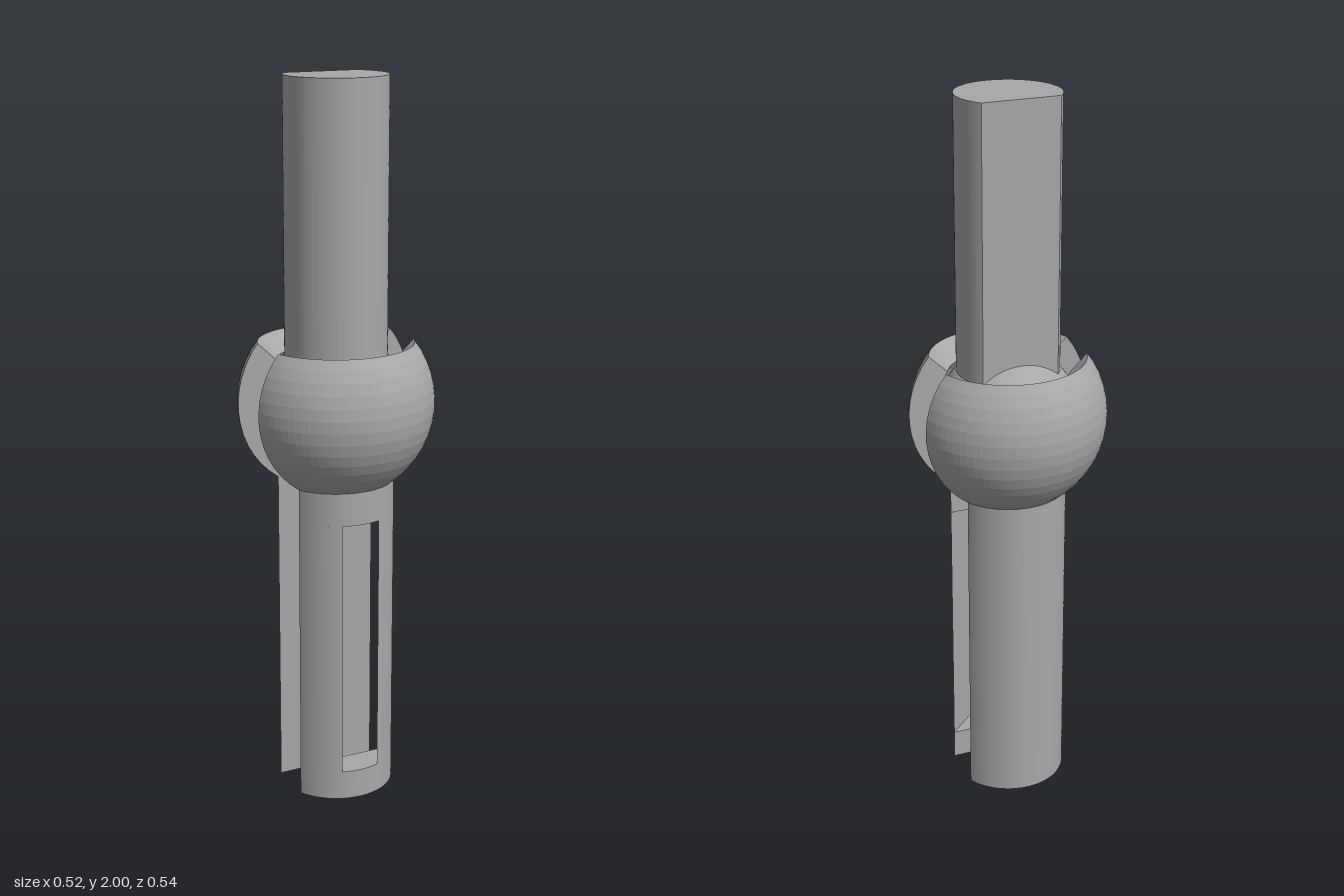
import * as THREE from 'three';

const SLOT = 0.067;      // half width of the slot between the two jaws
const CY = 1.125;        // centre height of ball and socket
const R_OUT = 0.27, R_IN = 0.2, R_SHAFT = 0.16, R_STEM = 0.14;
const NECK = CY - Math.sqrt(R_OUT ** 2 - R_SHAFT ** 2); // socket meets shaft

// Upright prism with its outline given in (x, z)
function prism(shape, y0, y1) {
  const g = new THREE.ExtrudeGeometry(shape, { depth: y1 - y0, bevelEnabled: false, curveSegments: 32 });
  return g.rotateX(Math.PI / 2).translate(0, y1, 0);
}

// Socket profile (radius, y): up the outside, down the chamfer, down the cavity
function socketProfile() {
  const pts = [];
  const arc = (r, from, to, n) => {
    for (let i = 0; i <= n; i++) {
      const a = from + (to - from) * i / n;
      pts.push([r * Math.cos(a), CY + r * Math.sin(a)]);
    }
  };
  arc(R_OUT, -Math.acos(R_SHAFT / R_OUT), Math.acos(0.213 / R_OUT), 13);
  arc(R_IN, Math.acos(0.163 / R_IN), -Math.acos(SLOT / R_IN), 14);
  return pts;
}

// Profile revolved about y, clipped by the plane z = SLOT
function clippedRevolve(profile, n = 36) {
  const pos = [], idx = [];
  profile.forEach(([r, y], j) => {
    const a = Math.asin(Math.min(1, SLOT / r));
    for (let i = 0; i <= n; i++) {
      const t = a + (Math.PI - 2 * a) * i / n;
      pos.push(r * Math.cos(t), y, r * Math.sin(t));
      if (j && i) {
        const p = j * (n + 1) + i, q = p - n - 1;
        idx.push(q - 1, p - 1, q, q, p - 1, p);
      }
    }
  });
  const g = new THREE.BufferGeometry();
  g.setAttribute('position', new THREE.Float32BufferAttribute(pos, 3));
  g.setIndex(idx);
  g.computeVertexNormals();
  return g;
}

export function createModel() {
  const model = new THREE.Group();
  model.name = 'ballJoint';
  const grey = new THREE.MeshStandardMaterial({ color: 0xa8a8a8, flatShading: true });
  grey.name = 'grey';
  const add = (parent, name, geometry) => {
    const mesh = new THREE.Mesh(geometry, grey);
    mesh.name = name;
    parent.add(mesh);
    return mesh;
  };

  // Stem with a flat along its back
  const cut = Math.asin(0.09 / R_STEM);
  const stem = new THREE.Shape();
  stem.absarc(0, 0, R_STEM, -cut, Math.PI + cut, false);
  add(model, 'stem', prism(stem, CY, 2));

  // Ball
  add(model, 'ball', new THREE.SphereGeometry(0.19, 48, 28)).position.y = CY;

  // Outlines of the half shaft: whole, and the strips beside the window
  const a0 = Math.asin(SLOT / R_SHAFT), a1 = Math.acos(0.055 / R_SHAFT);
  const half = new THREE.Shape();
  half.absarc(0, 0, R_SHAFT, a0, Math.PI - a0, false);
  const rightStrip = new THREE.Shape();
  rightStrip.moveTo(0.055, SLOT);
  rightStrip.absarc(0, 0, R_SHAFT, a0, a1, false);
  const leftStrip = new THREE.Shape();
  leftStrip.moveTo(-0.055, SLOT);
  leftStrip.absarc(0, 0, R_SHAFT, Math.PI - a1, Math.PI - a0, false);

  // Flat slot face of the socket
  const profile = socketProfile();
  const side = profile.map(([r, y]) => new THREE.Vector2(Math.sqrt(Math.max(0, r * r - SLOT * SLOT)), y));
  const mirrored = side.slice(0, -1).reverse().map(p => new THREE.Vector2(-p.x, p.y));
  const faceShape = new THREE.Shape([...side, ...mirrored]);

  // Two jaws, only the front one with a window
  for (const front of [true, false]) {
    const jaw = new THREE.Group();
    jaw.name = front ? 'frontJaw' : 'backJaw';
    add(jaw, 'socket', clippedRevolve(profile));
    add(jaw, 'socketSlotFace', new THREE.ShapeGeometry(faceShape).rotateY(Math.PI).translate(0, 0, SLOT));
    if (front) {
      add(jaw, 'shaftFoot', prism(half, 0, 0.083));
      add(jaw, 'windowLeftSide', prism(rightStrip, 0.083, 0.815));
      add(jaw, 'windowRightSide', prism(leftStrip, 0.083, 0.815));
      add(jaw, 'shaftNeck', prism(half, 0.815, NECK));
    } else {
      add(jaw, 'shaft', prism(half, 0, NECK));
      jaw.rotation.y = Math.PI;
    }
    model.add(jaw);
  }
  return model;
}
